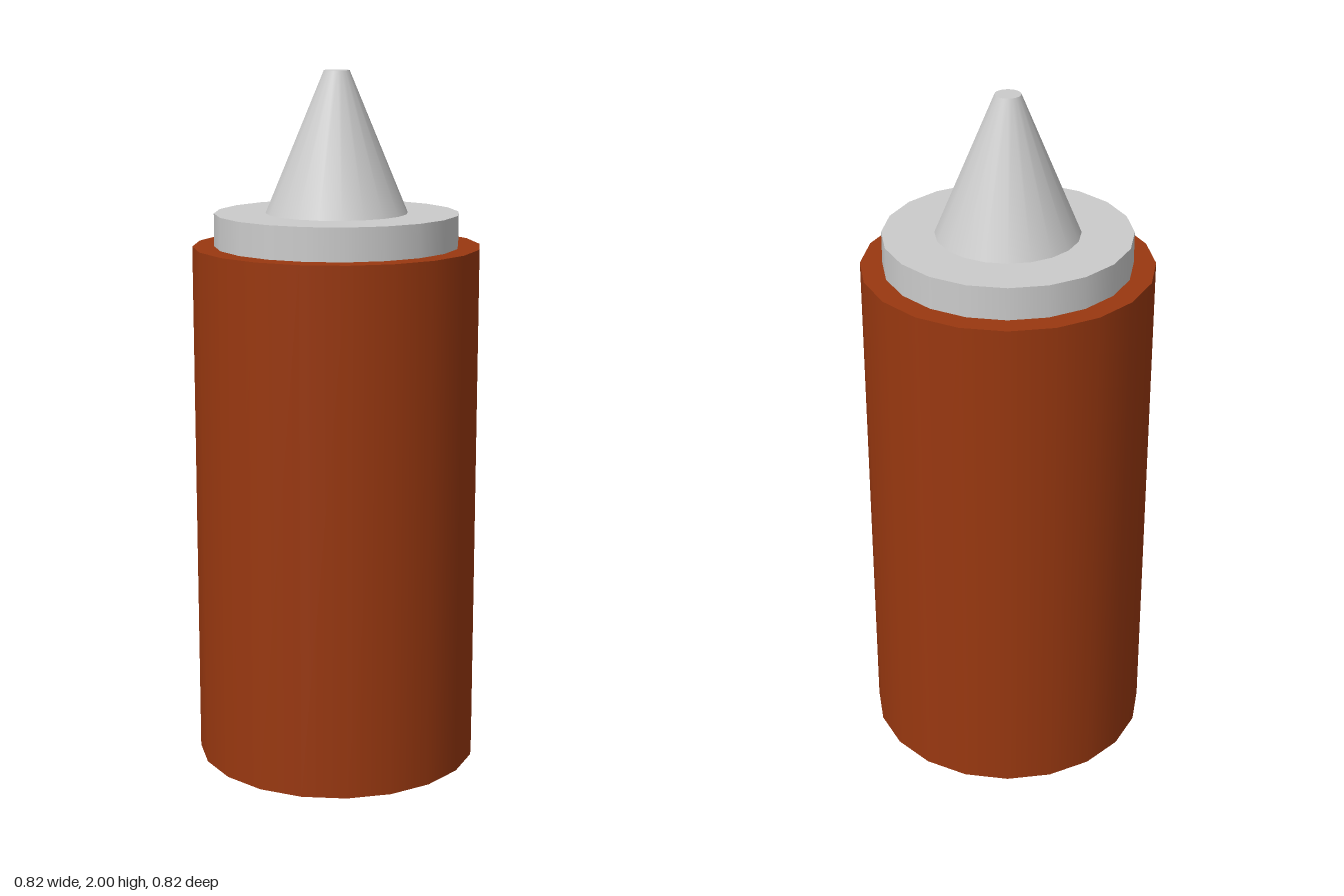
import * as THREE from 'three';

const SIDES = 20;

// Capped round section standing between two heights
function section(name, radiusTop, radiusBottom, y0, y1, material) {
  const geometry = new THREE.CylinderGeometry(radiusTop, radiusBottom, y1 - y0, SIDES);
  geometry.translate(0, (y0 + y1) / 2, 0);
  const mesh = new THREE.Mesh(geometry, material);
  mesh.name = name;
  return mesh;
}

export function createModel() {
  const group = new THREE.Group();
  group.name = 'squeezeBottle';
  const brown = new THREE.MeshStandardMaterial({ color: 0x993810 });
  const grey = new THREE.MeshStandardMaterial({ color: 0xcccccc });

  group.add(
    section('body', 0.41, 0.41, 0, 1.51, brown),
    section('capCollar', 0.348, 0.348, 1.51, 1.603, grey),
    section('nozzle', 0.036, 0.202, 1.603, 2, grey), // tapered, blunt tip
  );
  return group;
}
